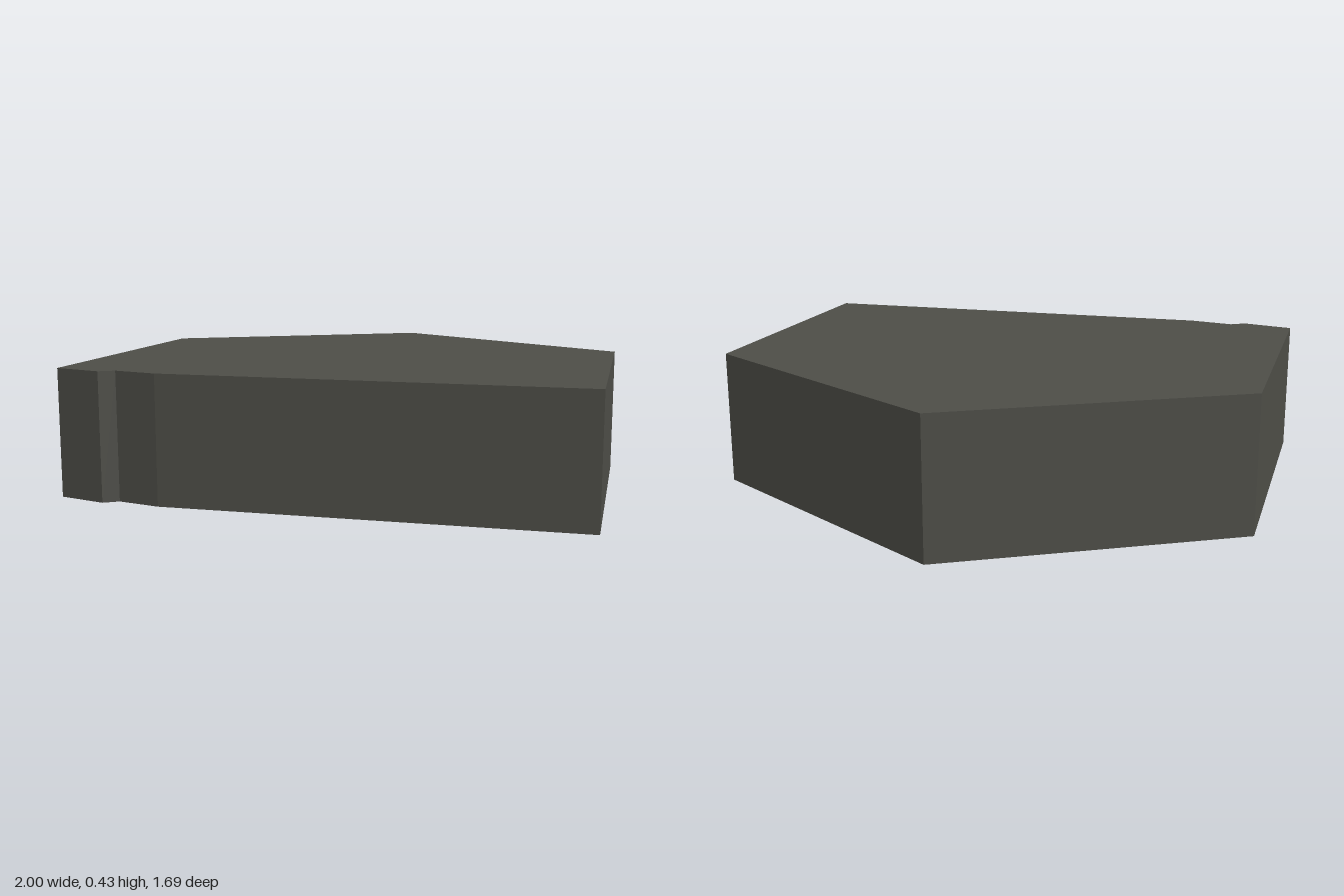
import * as THREE from 'three';

const HEIGHT = 0.43;

// Outline as [x, z], counter-clockwise seen from above
const OUTLINE = [
  [-0.525, 0.843], [-0.36, 0.797], [-0.335, 0.747], [-0.19, 0.70],
  [1, -0.013], [0.5, -0.843], [-0.5, -0.843], [-1, -0.013],
];

// Upright strip of flat walls following the outline
function wallGeometry(outline, height) {
  const positions = [];
  outline.forEach(([x0, z0], i) => {
    const [x1, z1] = outline[(i + 1) % outline.length];
    positions.push(
      x0, 0, z0, x1, 0, z1, x1, height, z1,
      x0, 0, z0, x1, height, z1, x0, height, z0,
    );
  });
  const geometry = new THREE.BufferGeometry();
  geometry.setAttribute('position', new THREE.Float32BufferAttribute(positions, 3));
  geometry.computeVertexNormals();
  return geometry;
}

export function createModel() {
  const model = new THREE.Group();
  model.name = 'hollowSlab';

  const darkStone = new THREE.MeshStandardMaterial({
    color: 0x4d4d47, flatShading: true, side: THREE.DoubleSide,
  });
  darkStone.name = 'darkStone';

  // Flat top
  const shape = new THREE.Shape(OUTLINE.map(([x, z]) => new THREE.Vector2(x, -z)));
  const top = new THREE.Mesh(new THREE.ShapeGeometry(shape), darkStone);
  top.geometry.rotateX(-Math.PI / 2);
  top.position.y = HEIGHT;
  top.name = 'top';

  // Side walls, open underneath
  const walls = new THREE.Mesh(wallGeometry(OUTLINE, HEIGHT), darkStone);
  walls.name = 'walls';

  model.add(top, walls);
  return model;
}
